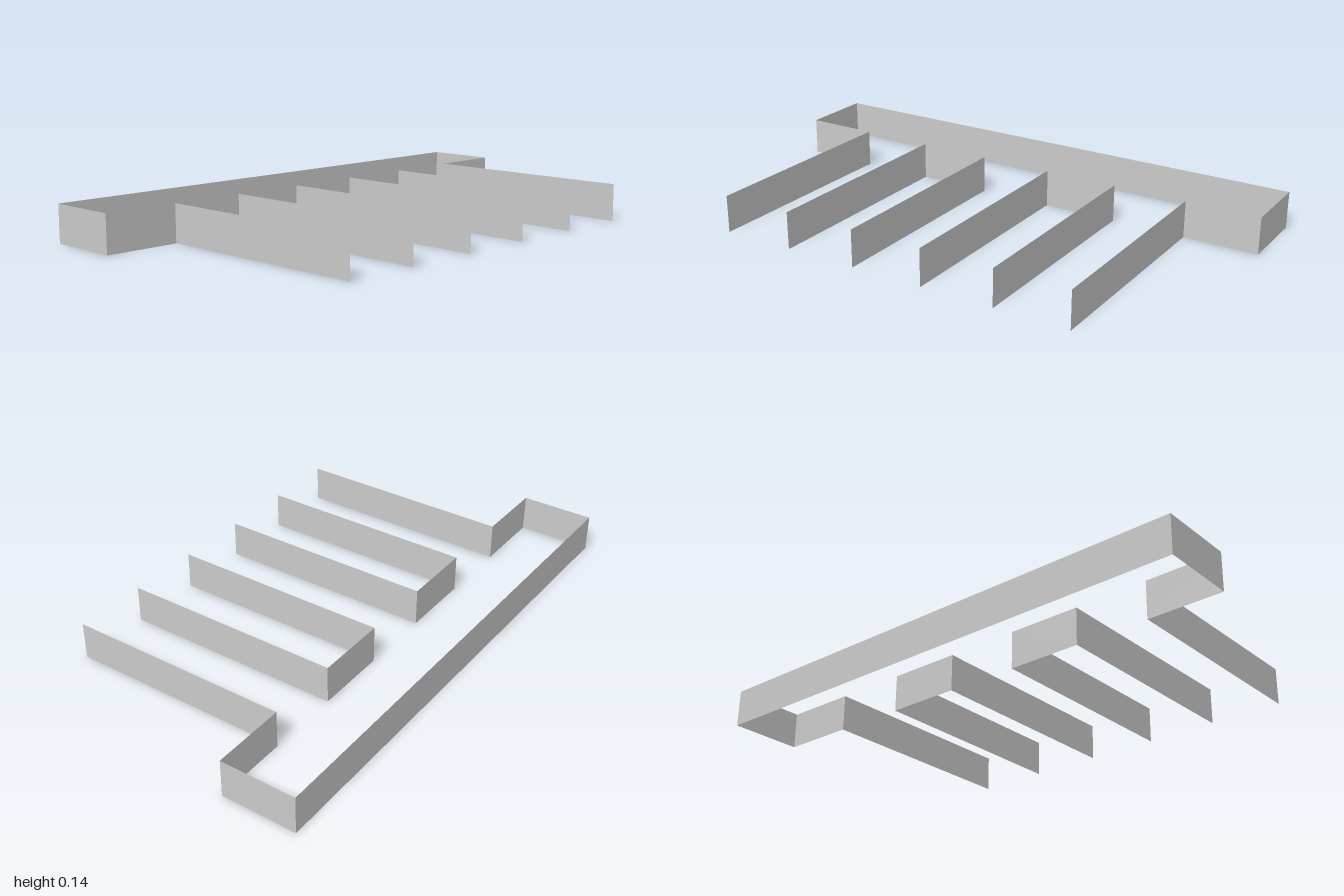
import * as THREE from 'three';
import { mergeGeometries } from 'three/addons/utils/BufferGeometryUtils.js';

const U = 2 / 7; // plan module
const H = U / 2; // wall height

const material = new THREE.MeshStandardMaterial({
  color: 0xcccccc, flatShading: true, side: THREE.DoubleSide,
});

// Thin upright wall following a plan path of [x, z] points, in modules
function wall(name, path) {
  const panels = [];
  for (let i = 0; i < path.length - 1; i++) {
    const [x0, z0] = path[i];
    const [x1, z1] = path[i + 1];
    const dx = x1 - x0, dz = z1 - z0;
    const panel = new THREE.PlaneGeometry(Math.hypot(dx, dz) * U, H);
    panel.rotateY(Math.atan2(-dz, dx));
    panel.translate((x0 + x1) / 2 * U, H / 2, (z0 + z1) / 2 * U);
    panels.push(panel);
  }
  const mesh = new THREE.Mesh(mergeGeometries(panels), material);
  mesh.name = name;
  return mesh;
}

export function createModel() {
  const group = new THREE.Group();
  group.name = 'partitionWalls';

  // Outer wall: long back run, returning at both ends to the outermost fins
  group.add(wall('outerWall', [
    [-2.5, 2], [-2.5, -1], [-3.5, -1], [-3.5, -2],
    [3.5, -2], [3.5, -1], [2.5, -1], [2.5, 2],
  ]));

  // Two U-shaped bays, open to the front
  for (const [name, x] of [['rightBay', -1], ['leftBay', 1]]) {
    group.add(wall(name, [
      [x - 0.5, 2], [x - 0.5, -1], [x + 0.5, -1], [x + 0.5, 2],
    ]));
  }
  return group;
}
